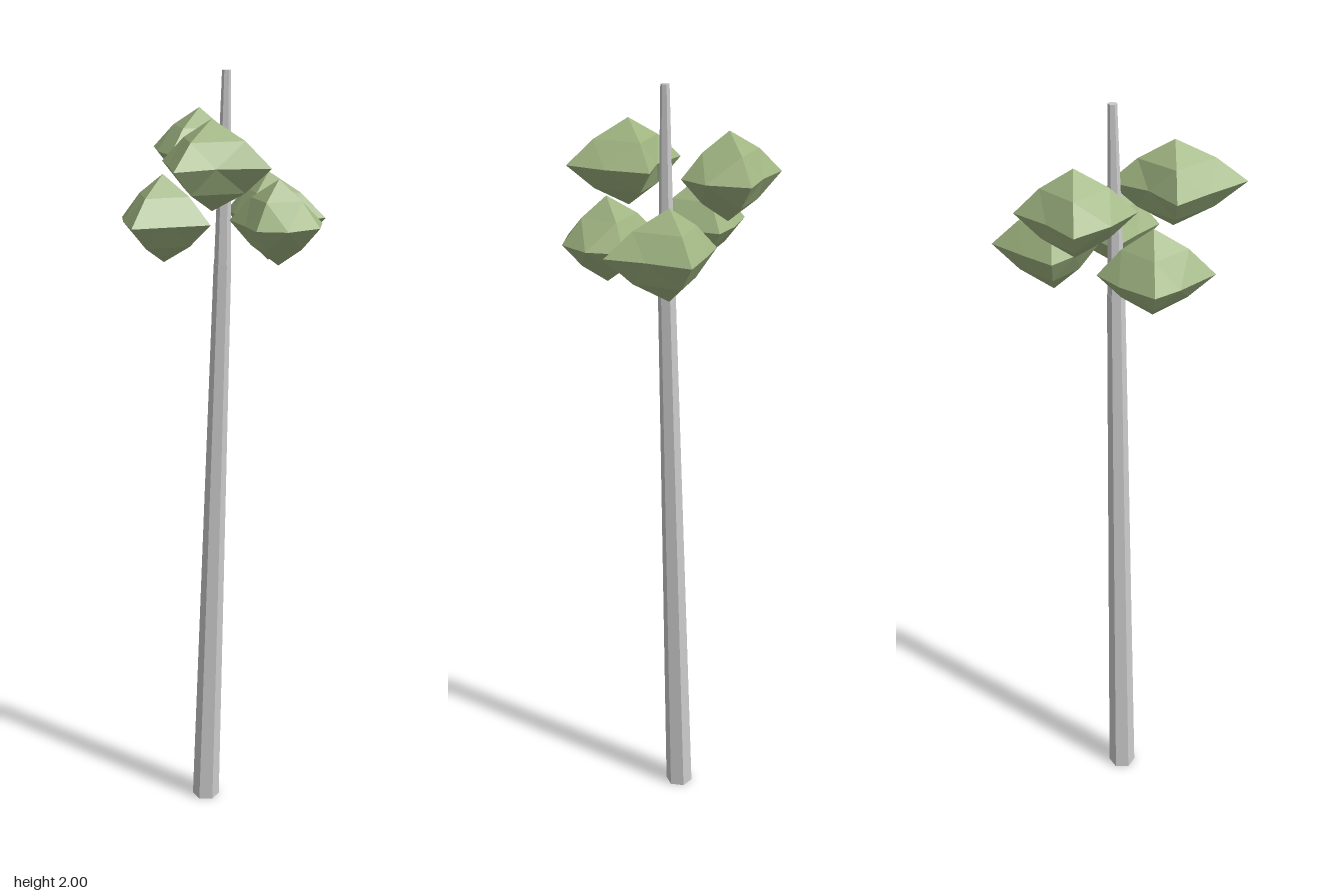
import * as THREE from 'three';

const bark = new THREE.MeshStandardMaterial({ color: 0xcccccc, flatShading: true });
const leaf = new THREE.MeshStandardMaterial({ color: 0x9fb481, flatShading: true });

// Leaning, tapering six-sided trunk section between two centres
function trunkSection(name, from, to, r0, r1) {
  const height = to[1] - from[1];
  const geo = new THREE.CylinderGeometry(r1, r0, height, 6);
  const pos = geo.attributes.position;
  for (let i = 0; i < pos.count; i++) {
    const t = pos.getY(i) / height + 0.5;
    pos.setXYZ(i,
      pos.getX(i) + THREE.MathUtils.lerp(from[0], to[0], t),
      THREE.MathUtils.lerp(from[1], to[1], t),
      pos.getZ(i) + THREE.MathUtils.lerp(from[2], to[2], t));
  }
  geo.computeVertexNormals();
  const mesh = new THREE.Mesh(geo, bark);
  mesh.name = name;
  return mesh;
}

// Spiky leaf clump: a once-divided octahedron whose equator follows eight
// [x, z] offsets, starting at +x and turning towards +z
function leafClump({ at, up, down, ring }) {
  const geo = new THREE.OctahedronGeometry(1, 1);
  const pos = geo.attributes.position;
  for (let i = 0; i < pos.count; i++) {
    const x = pos.getX(i), y = pos.getY(i), z = pos.getZ(i);
    const step = (Math.round(Math.atan2(z, x) / (Math.PI / 4)) + 8) % 8;
    const onPole = Math.abs(y) > 0.9, onEquator = Math.abs(y) < 0.1;
    const out = onPole ? 0 : onEquator ? 1 : 0.56;
    const lift = onPole ? 1 : onEquator ? 0 : 0.56;
    pos.setXYZ(i, ring[step][0] * out, lift * (y > 0 ? up : -down), ring[step][1] * out);
  }
  geo.computeVertexNormals();
  const mesh = new THREE.Mesh(geo, leaf);
  mesh.position.set(...at);
  return mesh;
}

const clumps = [
  { name: 'backRightLeaves', at: [-0.125, 1.795, -0.103], up: 0.105, down: 0.11,
    ring: [[0.121, 0], [0.065, 0.067], [0, 0.143], [-0.075, 0.082],
      [-0.1375, 0], [-0.0625, -0.061], [0, -0.136], [0.089, -0.073]] },
  { name: 'backLeftLeaves', at: [0.045, 1.64, -0.158], up: 0.105, down: 0.12,
    ring: [[0.1625, 0], [0.09, 0.055], [0, 0.1125], [-0.07, 0.055],
      [-0.12, 0], [-0.07, -0.064], [0, -0.146], [0.082, -0.064]] },
  { name: 'leftLeaves', at: [0.15, 1.64, -0.013], up: 0.11, down: 0.1,
    ring: [[0.1125, 0], [0.071, 0.086], [0, 0.115], [-0.06, 0.06],
      [-0.1375, 0], [-0.054, -0.07], [0, -0.127], [0.08, -0.079]] },
  { name: 'frontLeftLeaves', at: [0.045, 1.795, 0.13], up: 0.105, down: 0.11,
    ring: [[0.16, 0], [0.055, 0.075], [0, 0.173], [-0.075, 0.075],
      [-0.1375, 0], [-0.052, -0.0625], [0, -0.155], [0.089, -0.082]] },
  { name: 'frontRightLeaves', at: [-0.125, 1.64, 0.076], up: 0.115, down: 0.103,
    ring: [[0.135, 0], [0.064, 0.075], [0, 0.145], [-0.08, 0.059],
      [-0.1215, 0], [-0.061, -0.08], [0, -0.13], [0.07, -0.065]] },
];

export function createModel() {
  const model = new THREE.Group();
  model.name = 'tree';

  const kink = [-0.004, 1.53, -0.007];
  model.add(trunkSection('lowerTrunk', [-0.05, 0, 0.008], kink, 0.037, 0.022));
  model.add(trunkSection('upperTrunk', kink, [0.003, 2, -0.015], 0.021, 0.011));

  const crown = new THREE.Group();
  crown.name = 'crown';
  for (const clump of clumps) {
    const mesh = leafClump(clump);
    mesh.name = clump.name;
    crown.add(mesh);
  }
  model.add(crown);
  return model;
}
